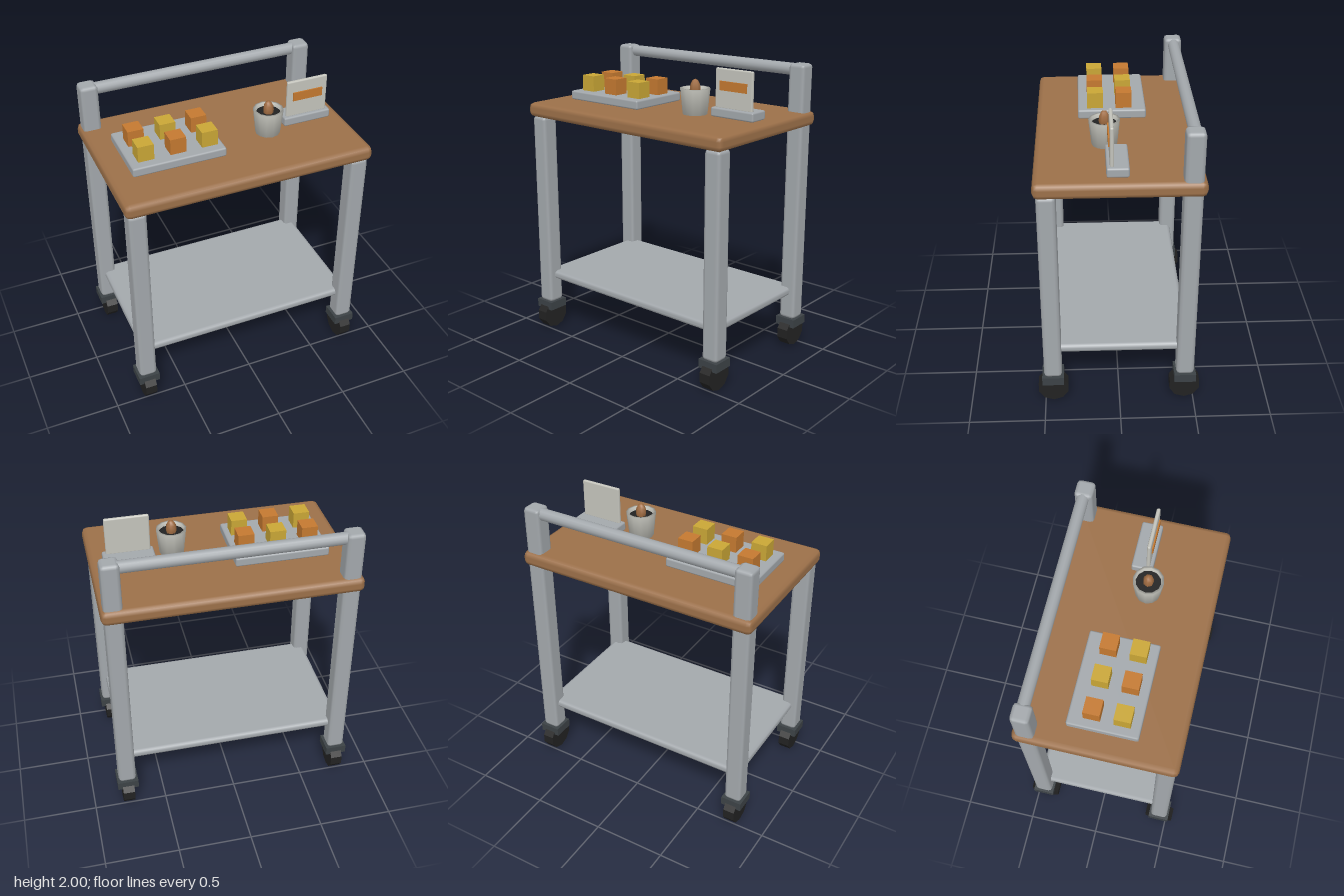
import * as THREE from 'three';
import { RoundedBoxGeometry } from 'three/addons/geometries/RoundedBoxGeometry.js';

const paint = (name, color, extra = {}) => {
  const m = new THREE.MeshStandardMaterial({ color, ...extra });
  m.name = name;
  return m;
};

export function createModel() {
  const group = new THREE.Group();
  const steel = paint('steel', 0xa3a8ac);
  const wood = paint('wood', 0x9c7049);
  const slate = paint('slate', 0x3c4246);
  const rubber = paint('rubber', 0x222222, { flatShading: true });
  const ceramic = paint('ceramic', 0xc4c4bc, { side: THREE.DoubleSide });
  const orange = paint('orange', 0xc47930);
  const yellow = paint('yellow', 0xc9a636);
  const brown = paint('brown', 0xa06c42);

  const add = (name, geometry, material, x, y, z) => {
    const mesh = new THREE.Mesh(geometry, material);
    mesh.name = name;
    mesh.position.set(x, y, z);
    group.add(mesh);
    return mesh;
  };
  // Boxes given by their bottom and top heights
  const box = (name, m, w, d, x, y0, y1, z) =>
    add(name, new THREE.BoxGeometry(w, y1 - y0, d), m, x, (y0 + y1) / 2, z);
  const softBox = (name, m, w, d, x, y0, y1, z, r) =>
    add(name, new RoundedBoxGeometry(w, y1 - y0, d, 1, r), m, x, (y0 + y1) / 2, z);

  // Worktop and lower shelf
  softBox('worktop', wood, 1.68, 1.05, 0, 1.585, 1.685, 0, 0.035);
  softBox('lowerShelf', steel, 1.56, 0.92, 0, 0.385, 0.445, 0, 0.025);

  // Legs with casters; the back legs rise above the worktop as posts
  for (const x of [-0.76, 0.76]) {
    for (const z of [0.445, -0.44]) {
      const front = z > 0;
      softBox(front ? 'frontLeg' : 'backLeg', steel, 0.12, 0.12, x, 0.21, front ? 1.59 : 2, z, 0.024);
      box('casterBracket', slate, 0.145, 0.145, x, 0.155, 0.215, z);
      const wheel = new THREE.CylinderGeometry(0.105, 0.105, 0.08, 10, 1, false, Math.PI / 2);
      add('casterWheel', wheel.rotateZ(Math.PI / 2), rubber, x, 0.105, z);
    }
  }

  // Push rail between the back posts
  const rail = new THREE.CylinderGeometry(0.04, 0.04, 1.46, 14).rotateZ(Math.PI / 2);
  add('pushRail', rail, steel, 0, 1.957, -0.443);

  // Tray with two alternating rows of cubes
  softBox('tray', steel, 0.625, 0.455, -0.382, 1.685, 1.747, 0.018, 0.012);
  [-0.585, -0.372, -0.16].forEach((x, i) => {
    [-0.06, 0.13].forEach((z, j) => {
      box('sampleCube', (i + j) % 2 ? yellow : orange, 0.106, 0.106, x, 1.745, 1.855, z);
    });
  });

  // Open tapered cup with a dark filling and a rounded piece standing in it
  const cupProfile = [[0, 0], [0.082, 0], [0.1, 0.17], [0.084, 0.17], [0.08, 0.13]]
    .map(([r, y]) => new THREE.Vector2(r, y));
  add('cup', new THREE.LatheGeometry(cupProfile, 12), ceramic, 0.292, 1.685, 0.08);
  add('cupFilling', new THREE.CylinderGeometry(0.083, 0.08, 0.02, 12), rubber, 0.292, 1.82, 0.08);
  const piece = new THREE.SphereGeometry(0.036, 7, 6).scale(1, 1.8, 1);
  add('cupPiece', piece, brown, 0.292, 1.85, 0.08);

  // Display card on its stand
  softBox('cardStand', steel, 0.335, 0.14, 0.585, 1.685, 1.747, 0.01, 0.012);
  softBox('displayCard', ceramic, 0.29, 0.025, 0.583, 1.74, 2, 0.046, 0.01);
  box('cardStripe', orange, 0.21, 0.009, 0.584, 1.86, 1.92, 0.063);

  return group;
}
